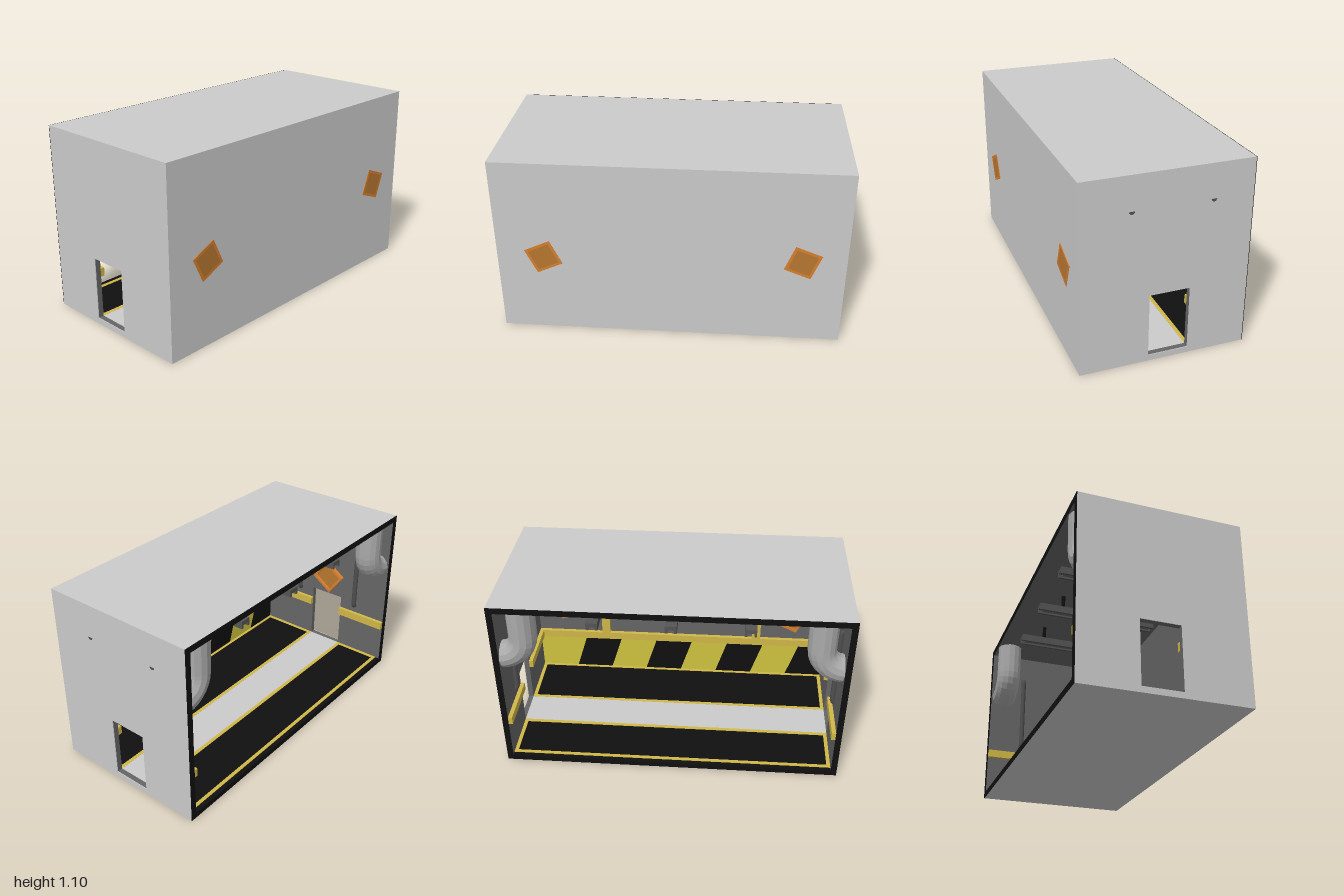
import * as THREE from 'three';

const mat = (color, side = THREE.FrontSide) => new THREE.MeshStandardMaterial({ color, side });
const grey = mat(0xcccccc), dark = mat(0x666666), black = mat(0x101010), yellow = mat(0xd0b848);
const panelYellow = mat(0xd0c440), orange = mat(0xd88030), amber = mat(0xb87830);
const pipeGrey = new THREE.MeshStandardMaterial({ color: 0xaaaaaa, flatShading: true, side: THREE.DoubleSide });
const conduitGrey = mat(0x505050, THREE.DoubleSide), lampGrey = mat(0x555555);

const T = 0.035, H = 1.1, BACK = -0.477, FRONT = 0.477, IN = 1 - T, INZ = 0.473;
const DOOR = { z0: -0.14, z1: 0.09, top: 0.405 };

export function createModel() {
  const root = new THREE.Group();
  const add = (name, geo, material, parent = root) => {
    const m = new THREE.Mesh(geo, material);
    m.name = name;
    parent.add(m);
    return m;
  };
  // box given by its minimum and maximum on each axis
  const box = (name, material, x0, x1, y0, y1, z0, z1, parent = root) => {
    const m = add(name, new THREE.BoxGeometry(x1 - x0, y1 - y0, z1 - z0), material, parent);
    m.position.set((x0 + x1) / 2, (y0 + y1) / 2, (z0 + z1) / 2);
    return m;
  };
  const rect = (C, x0, x1, y0, y1) =>
    new C([[x0, y0], [x1, y0], [x1, y1], [x0, y1]].map(p => new THREE.Vector2(...p)));
  const extrude = (shape, depth) => new THREE.ExtrudeGeometry(shape, { depth, bevelEnabled: false });

  // outer shell and dark lining, open at the back
  const S = 0.004;
  box('roof', grey, -1, 1, H - S, H, BACK, FRONT);
  box('ceiling', dark, -IN, IN, H - T, H - S, BACK, INZ);
  box('base', grey, -1, 1, 0, S, BACK, FRONT);
  box('floorSlab', black, -IN, IN, S, T - 0.002, BACK, INZ);
  box('frontWall', grey, -1, 1, S, H - S, FRONT - 0.002, FRONT);
  box('frontLining', dark, -IN, IN, T - 0.002, H - T, INZ, FRONT - 0.002);

  // side walls with a doorway through each
  const sideWall = (name, xOuter, depth, material, y0, y1) => {
    const shape = rect(THREE.Shape, BACK, FRONT - 0.002, y0, y1);
    shape.holes.push(rect(THREE.Path, DOOR.z0, DOOR.z1, T, DOOR.top));
    const g = extrude(shape, depth);
    g.rotateY(-Math.PI / 2);
    g.translate(xOuter, 0, 0);
    add(name, g, material);
  };
  for (const s of [1, -1]) {
    sideWall('sideWall', s > 0 ? 1 : -1 + S, S, grey, S, H - S);
    sideWall('sideLining', s > 0 ? 1 - S : -IN, T - S, dark, S, H - S);
  }

  // black rim round the open back
  const rim = rect(THREE.Shape, -1, 1, 0, H);
  rim.holes.push(rect(THREE.Path, -IN, IN, T, H - T));
  add('backRim', extrude(rim, 0.003), black).position.z = BACK - 0.003;

  // walkway and yellow floor lines
  const F = T - 0.002, L = 0.022;
  box('walkway', grey, -IN, IN, F, T, DOOR.z0, DOOR.z1);
  for (const [z0, z1] of [[-0.452, DOOR.z0], [DOOR.z1, INZ]]) {
    for (const z of [z0, z1 - L]) box('floorLine', yellow, -IN, IN, F, T + 0.001, z, z + L);
    for (const x of [-IN, IN - L]) box('floorEndLine', yellow, x, x + L, F, T + 0.001, z0 + L, z1 - L);
  }

  // slanted hazard panels along the front wall
  const pTop = 0.29, slant = 0.08, step = IN / 4;
  for (let i = 0; i < 8; i++) {
    const a = IN - i * step, b = a - step;
    const shape = new THREE.Shape([
      [b, T], [a, T], [i ? a - slant : a, pTop], [i < 7 ? b - slant : b, pTop],
    ].map(p => new THREE.Vector2(...p)));
    add('hazardPanel', extrude(shape, 0.004), i % 2 ? black : panelYellow).position.z = INZ - 0.004;
  }

  // yellow rails and posts
  const r0 = 0.28, r1 = 0.33, out = 0.025;
  box('frontRail', yellow, -IN, IN, r0, r1, INZ - out, INZ);
  for (const s of [1, -1]) {
    box('wallPost', yellow, s * 0.508 - 0.027, s * 0.508 + 0.027, r1, H - T, INZ - out, INZ);
    const [xa, xb] = s > 0 ? [IN - out, IN] : [-IN, -IN + out];
    box('sideRail', yellow, xa, xb, r0, r1, BACK, DOOR.z0);
    box('sideRail', yellow, xa, xb, r0, r1, DOOR.z1, INZ - out);
  }

  // tilted square signs: plate in a raised frame
  const sign = (x, y, z, turn, roll) => {
    const g = new THREE.Group();
    g.name = 'sign';
    const h = 0.082, f = 0.016;
    box('signPlate', amber, -h + f, h - f, -h + f, h - f, 0, 0.012, g);
    const frame = rect(THREE.Shape, -h, h, -h, h);
    frame.holes.push(rect(THREE.Path, -h + f, h - f, -h + f, h - f));
    add('signFrame', extrude(frame, 0.028), orange, g);
    g.position.set(x, y, z);
    g.rotation.set(0, turn, THREE.MathUtils.degToRad(roll));
    root.add(g);
  };
  sign(-0.73, 0.5, 0.48, Math.PI, -25);
  sign(0.755, 0.535, 0.48, Math.PI, 21);
  for (const s of [1, -1]) sign(s * IN, 0.54, -0.035, -s * Math.PI / 2, -35);

  // ducts from the ceiling bending into the side walls, and wall conduits
  const V = (x, y, z) => new THREE.Vector3(x, y, z);
  const line = (a, b) => new THREE.LineCurve3(a, b);
  const bend = (a, b, c) => new THREE.QuadraticBezierCurve3(a, b, c);
  for (const s of [1, -1]) {
    const x = s * 0.834, z = -0.39;
    const duct = new THREE.CurvePath();
    const elbow = [];
    for (let i = 0; i <= 6; i++) {
      const a = i / 6 * Math.PI / 2;
      elbow.push(V(x + s * 0.131 * (1 - Math.cos(a)), 0.871 - 0.131 * Math.sin(a), z));
    }
    duct.add(line(V(x, H - T, z), elbow[0]));
    duct.add(new THREE.CatmullRomCurve3(elbow));
    add('duct', new THREE.TubeGeometry(duct, 14, 0.081, 14), pipeGrey);

    for (const cz of [-0.25, 0.198]) {
      const xi = s * (IN - 0.012), xw = s * (IN + 0.012);
      const conduit = new THREE.CurvePath();
      conduit.add(bend(V(xw, 0.375, cz), V(xi, 0.375, cz), V(xi, 0.41, cz)));
      conduit.add(line(V(xi, 0.41, cz), V(xi, 0.86, cz)));
      conduit.add(bend(V(xi, 0.86, cz), V(xi, 0.893, cz), V(xw, 0.893, cz)));
      add('conduit', new THREE.TubeGeometry(conduit, 30, 0.016, 8), conduitGrey);
      // conduit end showing on the outside of the left wall
      if (s > 0) {
        const end = add('conduitEnd', new THREE.CircleGeometry(0.016, 8, Math.PI, Math.PI), conduitGrey);
        end.position.set(1.001, 0.904, cz);
        end.rotation.y = Math.PI / 2;
      }
    }
  }

  // hanging strip lamps
  for (const x of [-0.44, 0, 0.44]) {
    const z0 = -0.4, z1 = 0.355;
    box('lampHousing', lampGrey, x - 0.033, x + 0.033, 0.95, 0.975, z0, z1);
    for (const s of [1, -1]) {
      const e = x + s * 0.026;
      box('lampLip', lampGrey, e - 0.007, e + 0.007, 0.93, 0.95, z0, z1);
    }
    box('lampTube', dark, x - 0.01, x + 0.01, 0.936, 0.95, z0 + 0.02, z1 - 0.02);
    for (const z of [-0.245, 0.2]) {
      const rod = add('lampRod', new THREE.CylinderGeometry(0.012, 0.012, H - T - 0.975, 8), black);
      rod.position.set(x, (H - T + 0.975) / 2, z);
    }
  }
  return root;
}
